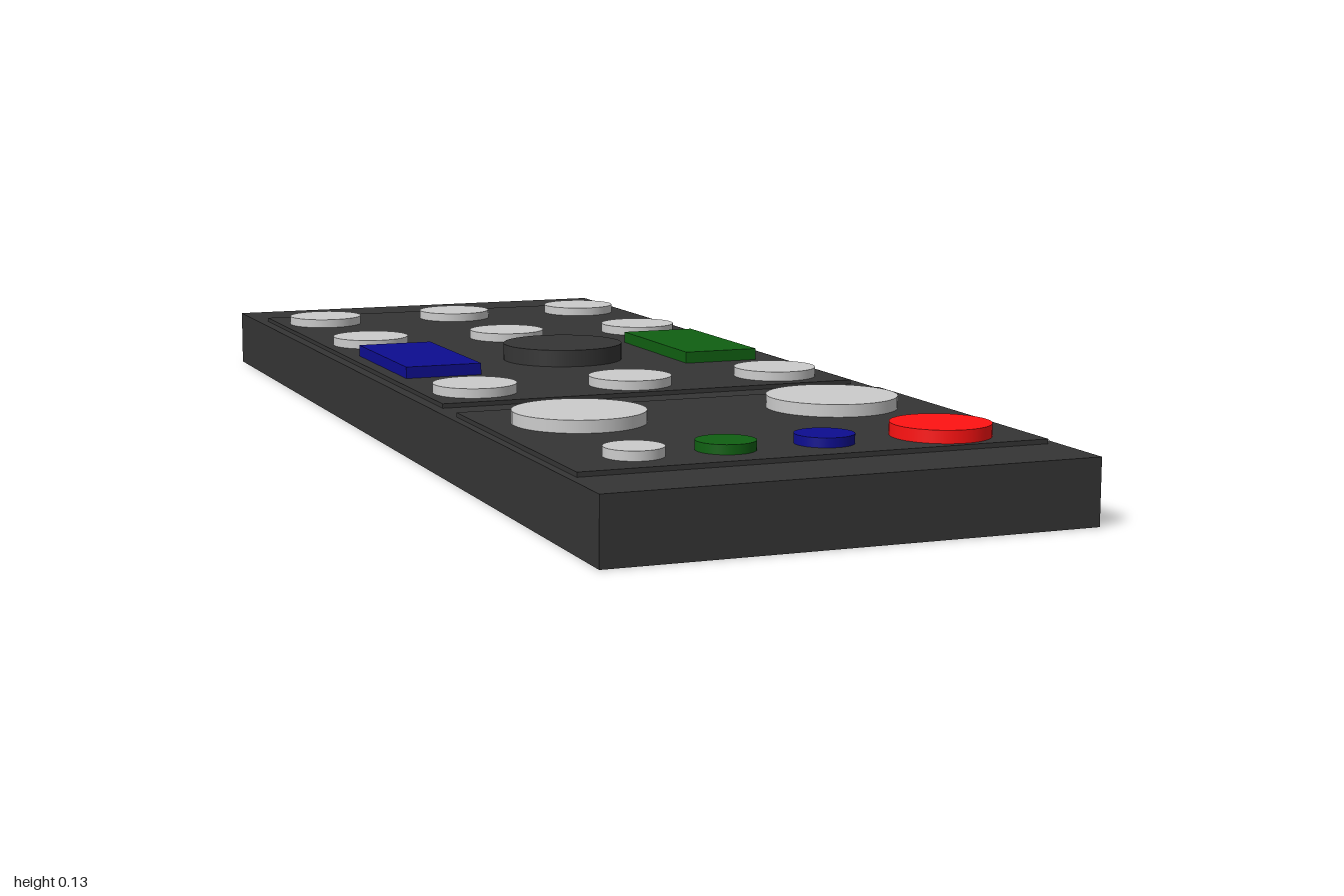
import * as THREE from 'three';

const mat = (color) => new THREE.MeshStandardMaterial({ color });
const dark = mat(0x353535), grey = mat(0xcccccc), red = mat(0xff1212);
const blue = mat(0x0d0d90), green = mat(0x106012);
const PANEL_TOP = 0.105;

export function createModel() {
  const model = new THREE.Group();

  // box given by its extents
  const box = (name, material, x0, x1, y0, y1, z0, z1) => {
    const mesh = new THREE.Mesh(new THREE.BoxGeometry(x1 - x0, y1 - y0, z1 - z0), material);
    mesh.position.set((x0 + x1) / 2, (y0 + y1) / 2, (z0 + z1) / 2);
    mesh.name = name;
    model.add(mesh);
  };

  // round button sunk slightly into the panel
  const button = (name, material, x, z, radius, top) => {
    const bottom = PANEL_TOP - 0.01;
    const mesh = new THREE.Mesh(new THREE.CylinderGeometry(radius, radius, top - bottom, 48), material);
    mesh.position.set(x, (top + bottom) / 2, z);
    mesh.name = name;
    model.add(mesh);
  };

  // body and the two raised panels
  box('body', dark, -0.368, 0.368, 0, 0.098, -1, 1);
  box('upperPanel', dark, -0.35, 0.346, 0.09, PANEL_TOP, -0.85, 0.285);
  box('lowerPanel', dark, -0.355, 0.353, 0.09, PANEL_TOP, 0.37, 0.885);

  // three rows of keys
  const rows = [[-0.73, -0.73, -0.73], [-0.413, -0.413, -0.413], [0.188, 0.2, 0.194]];
  for (const row of rows) {
    row.forEach((z, i) => button('key', grey, -0.266 + i * 0.259, z, 0.067, 0.12));
  }

  // rocker keys and central disc
  box('leftRocker', blue, -0.327, -0.198, 0.095, 0.124, -0.27, 0.015);
  box('rightRocker', green, 0.17, 0.3, 0.095, 0.124, -0.27, 0.015);
  button('centreDisc', dark, -0.007, -0.115, 0.102, 0.133);

  // large round buttons
  button('largeButton', grey, -0.213, 0.515, 0.1, 0.124);
  button('largeButton', grey, 0.195, 0.52, 0.1, 0.124);

  // bottom row of coloured buttons
  button('smallGreyButton', grey, -0.241, 0.8, 0.043, 0.119);
  button('smallGreenButton', green, -0.105, 0.8, 0.043, 0.119);
  button('smallBlueButton', blue, 0.045, 0.8, 0.043, 0.119);
  button('redButton', red, 0.227, 0.802, 0.073, 0.124);

  return model;
}
